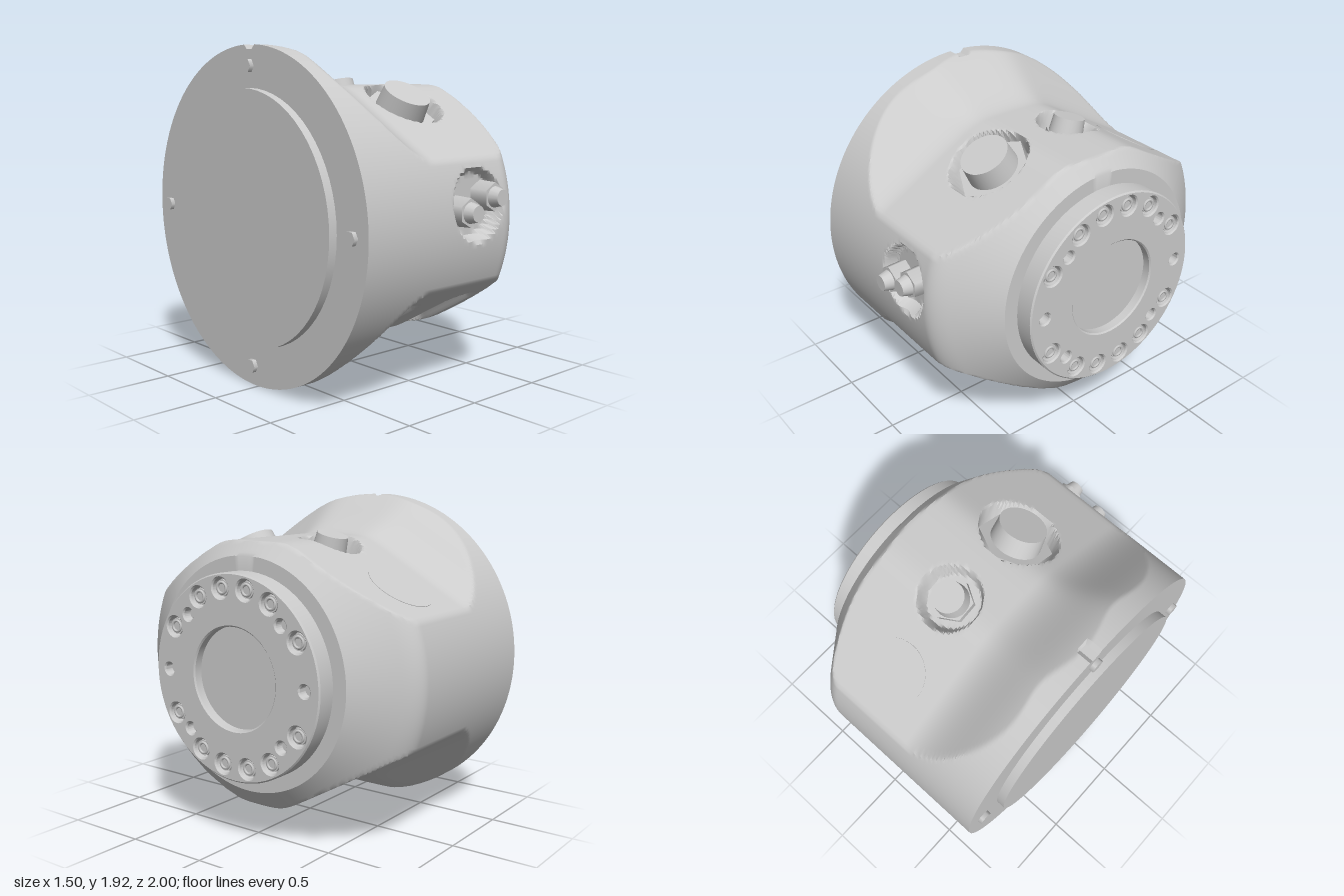
import * as THREE from 'three';
import { toCreasedNormals } from 'three/addons/utils/BufferGeometryUtils.js';

const material = new THREE.MeshStandardMaterial({ color: 0xcccccc });
const { smoothstep, lerp, degToRad } = THREE.MathUtils;

function add(parent, name, geometry, x = 0, y = 0, z = 0) {
  const mesh = new THREE.Mesh(geometry, material);
  mesh.name = name;
  mesh.position.set(x, y, z);
  parent.add(mesh);
  return mesh;
}

// Cylinder standing on y = 0
const post = (r, h, sides = 32, rTop = r) =>
  new THREE.CylinderGeometry(rTop, r, h, sides).translate(0, h / 2, 0);
// Cylinder lying along x, starting at x = 0
const axial = (r, h, sides = 32) => post(r, h, sides).rotateZ(-Math.PI / 2);

// Recesses: a = direction around the x axis (degrees from up towards +z),
// x and t = position across that direction, len = half length of a slot
const POCKETS = [
  { a: 30, x: 0.11, t: 0, r: 0.24, floor: 0.6 },
  { a: -15, x: 0.11, t: 0, r: 0.185, floor: 0.63 },
  { a: 90, x: 0.11, t: -0.1, r: 0.205, floor: 0.87 },
  { a: -150, x: 0.1, t: 0, r: 0.24, floor: 0.62 },
  { a: 150, x: -0.13, t: -0.03, r: 0.125, floor: 0.69, len: 0.2 },
  { a: 150, x: 0.35, t: -0.03, r: 0.125, floor: 0.69, len: 0.2 },
];

const X0 = -0.71, X1 = 0.63;

// Housing radius: a round drum cut by top, bottom and four slanted flats that flare out at the rear
function housingRadius(x, angle) {
  const blend = smoothstep(x, -0.74, -0.18);
  const e = Math.min(0.08, Math.max(0, x - 0.55));
  const round = 0.08 - Math.sqrt(0.0064 - e * e);
  const flat = 0.98 - 0.245 * blend - round;
  const limits = [[0, flat], [180, flat + 0.035 * blend],
    [30, flat + 0.015], [-30, flat + 0.015], [150, flat + 0.015], [-150, flat + 0.015]];
  let sum = 0;
  for (const [a, d] of limits) {
    const c = Math.cos(angle - degToRad(a));
    if (c > 0.1) sum += (c / d) ** 40;
  }
  const cut = sum > 0 ? sum ** (-1 / 40) : 9;
  // Drum with a softened cone at the output end
  const cone = 0.66 + 1.22 * (X1 - x);
  const h = Math.max(0, 0.08 - Math.abs(cone - 0.96)) / 0.08;
  const drum = Math.min(0.96, cone) - h * h * 0.02;
  let r = Math.min(drum, cut);
  // Alignment notch on the top of the rear rim
  if (x < -0.62 && Math.cos(angle) > 0 && Math.abs(Math.sin(angle)) < 0.045) r = Math.min(r, 0.935);
  return r;
}

function housingGeometry() {
  const sides = 256, rows = 114;
  const geo = new THREE.PlaneGeometry(1, 1, sides, rows);
  const pos = geo.attributes.position;
  for (let j = 0; j <= rows; j++) {
    const x = lerp(X0, X1, Math.min(1, Math.max(0, (j - 1) / (rows - 2))));
    for (let i = 0; i <= sides; i++) {
      const angle = -2 * Math.PI * (i % sides) / sides;
      // First and last rows close the ends inwards
      const r = j === 0 ? 0.6 : j === rows ? 0.5 : housingRadius(x, angle);
      let y = r * Math.cos(angle), z = r * Math.sin(angle);
      if (j > 0 && j < rows) for (const p of POCKETS) {
        const c = Math.cos(degToRad(p.a)), s = Math.sin(degToRad(p.a));
        const height = y * c + z * s;
        if (height < p.floor) continue;
        const across = Math.max(0, Math.abs(z * c - y * s - p.t) - (p.len || 0));
        const w = 1 - smoothstep(Math.hypot(x - p.x, across), p.r - 0.035, p.r);
        const push = (p.floor - height) * w;
        y += c * push;
        z += s * push;
      }
      pos.setXYZ(j * (sides + 1) + i, x, y, z);
    }
  }
  return toCreasedNormals(geo, 0.6);
}

// Group whose y axis points outwards at angle a around the drum
function station(parent, name, a) {
  const g = new THREE.Group();
  g.name = name;
  g.rotation.x = degToRad(a);
  parent.add(g);
  return g;
}

export function createModel() {
  const root = new THREE.Group();
  const model = new THREE.Group();
  model.name = 'gearHousing';
  model.position.set(0, 0.96, -0.04);
  root.add(model);

  add(model, 'housing', housingGeometry());

  // Rear cover and its four bolts
  add(model, 'rearCover', axial(0.725, 0.06, 64), -0.76);
  for (let i = 0; i < 4; i++) {
    const a = i * Math.PI / 2;
    add(model, 'rearBolt', axial(0.04, 0.05, 6), -0.735, 0.845 * Math.cos(a), 0.845 * Math.sin(a));
  }

  // Output flange with bore, counterbores and dowel holes
  const flange = new THREE.Group();
  flange.name = 'outputFlange';
  model.add(flange);
  const shape = new THREE.Shape().absarc(0, 0, 0.57, 0, Math.PI * 2);
  const hole = (y, z, r) =>
    shape.holes.push(new THREE.Path().absarc(-z, y, r, 0, Math.PI * 2, true));
  const polar = (deg, r) => [r * Math.sin(degToRad(deg)), r * Math.cos(degToRad(deg))];
  hole(0, 0, 0.295);
  for (const deg of [0, 45, 135, 180, 225, 315]) hole(...polar(deg, deg % 180 ? 0.46 : 0.48), 0.042);
  for (const deg of [30, 60, 80, 100, 120, 150]) {
    for (const side of [1, -1]) {
      const [y, z] = polar(deg * side, 0.497);
      hole(y, z, 0.064);
      add(flange, 'flangeBolt', axial(0.045, 0.04, 20), 0.685, y, z);
      const socket = new THREE.TorusGeometry(0.03, 0.008, 6, 20).rotateY(Math.PI / 2);
      add(flange, 'boltSocket', socket, 0.727, y, z);
    }
  }
  const ring = new THREE.ExtrudeGeometry(shape, {
    depth: 0.11, bevelEnabled: true, bevelSize: 0.008, bevelThickness: 0.008,
    bevelOffset: 0, bevelSegments: 1, curveSegments: 40,
  });
  add(flange, 'flangeRing', toCreasedNormals(ring.rotateY(Math.PI / 2), 0.5), 0.627);
  add(flange, 'flangeFloor', axial(0.57, 0.06, 64), 0.63);

  // Large hexagonal plug on the front upper slope
  const filler = station(model, 'largePlug', 30);
  add(filler, 'plugHex', post(0.22, 0.11, 6), 0.11, 0.57);
  add(filler, 'plugCap', post(0.15, 0.13, 32, 0.14), 0.11, 0.67);

  // Small breather plug near the top
  const breather = station(model, 'smallPlug', -15);
  add(breather, 'plugHex', post(0.12, 0.06, 6), 0.11, 0.62);
  add(breather, 'plugCap', post(0.1, 0.11, 24, 0.09), 0.11, 0.67);

  // Flush round cover on the back upper slope
  const cover = station(model, 'flushCover', -30);
  add(cover, 'coverDisc', post(0.19, 0.04, 48), 0.11, 0.713, -0.32);

  // Pair of domed hex fittings on the front
  const fittings = station(model, 'frontFittings', 90);
  for (const [x, t] of [[0.01, -0.07], [0.205, -0.14]]) {
    add(fittings, 'fittingHex', post(0.085, 0.11, 6, 0.08), x, 0.87, t);
    add(fittings, 'fittingDome', post(0.06, 0.06, 16, 0.045), x, 0.975, t);
  }
  return root;
}
